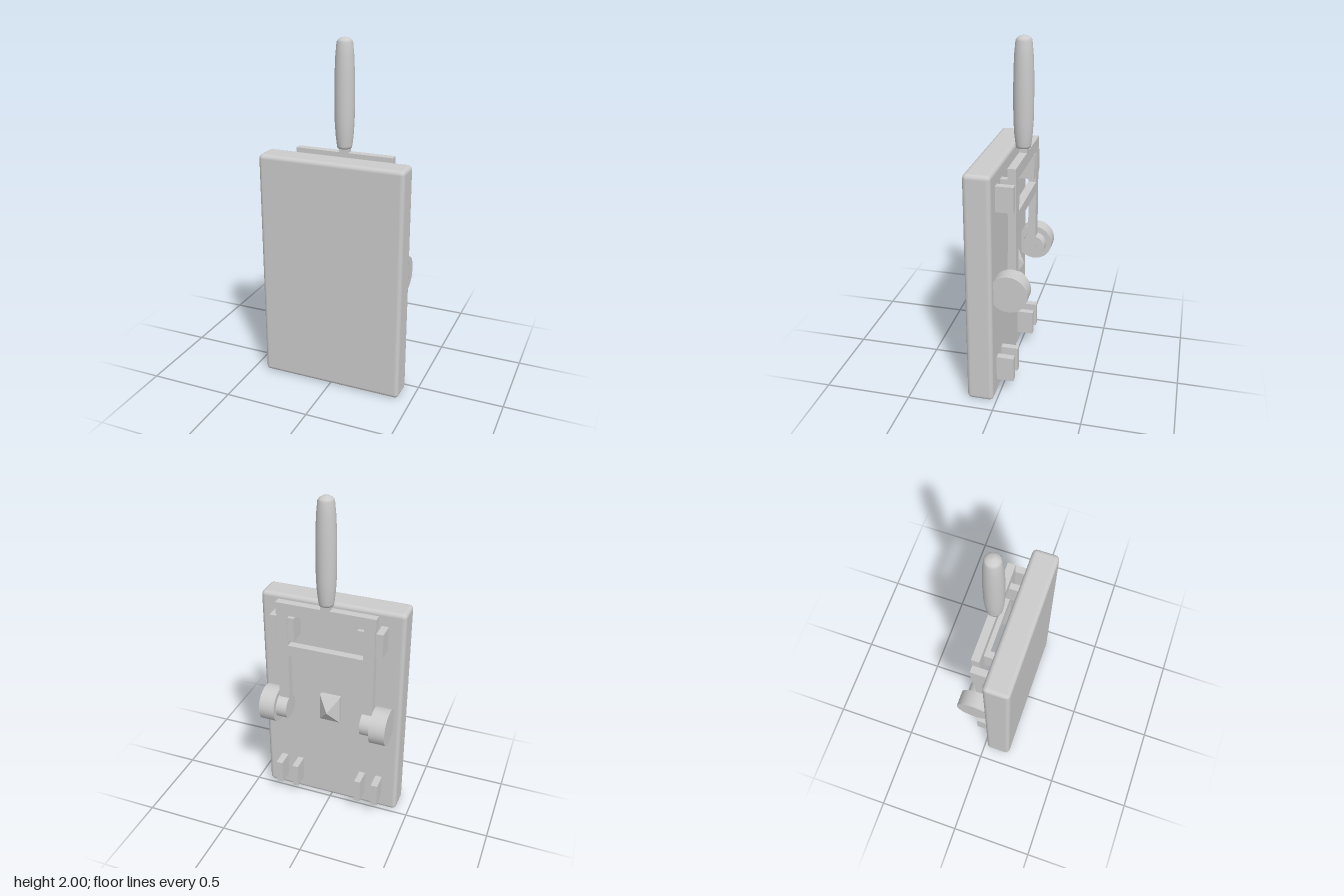
import * as THREE from 'three';
import { RoundedBoxGeometry } from 'three/addons/geometries/RoundedBoxGeometry.js';

const material = new THREE.MeshStandardMaterial({ color: 0xcccccc });
const flatMaterial = new THREE.MeshStandardMaterial({ color: 0xcccccc, flatShading: true });

export function createModel() {
  const group = new THREE.Group();

  const add = (name, geometry, x, y, z, mat = material) => {
    const mesh = new THREE.Mesh(geometry, mat);
    mesh.name = name;
    mesh.position.set(x, y, z);
    group.add(mesh);
    return mesh;
  };
  // Box given by its lower and upper limits on each axis
  const addBox = (name, x0, x1, y0, y1, z0, z1) =>
    add(name, new THREE.BoxGeometry(x1 - x0, y1 - y0, z1 - z0),
      (x0 + x1) / 2, (y0 + y1) / 2, (z0 + z1) / 2);
  // Cylinder lying along x between two limits
  const addDrum = (name, x0, x1, y, z, r) => {
    const mesh = add(name, new THREE.CylinderGeometry(r, r, x1 - x0, 40), (x0 + x1) / 2, y, z);
    mesh.rotation.z = Math.PI / 2;
  };

  // Base plate with softened edges
  add('basePlate', new RoundedBoxGeometry(0.85, 1.37, 0.152, 2, 0.025), 0, 0.685, 0.094);

  // Swinging frame: two bars across, joined by two arms
  const back = -0.084, front = -0.039;
  addBox('topBar', -0.29, 0.29, 1.3, 1.372, back, front);
  addBox('lowerBar', -0.23, 0.23, 1.045, 1.11, back, front);

  for (const side of [1, -1]) {
    const label = side > 0 ? 'left' : 'right';
    const span = (a, b) => (side > 0 ? [a, b] : [-b, -a]);

    addBox(label + 'Arm', ...span(0.222, 0.285), 0.685, 1.31, back, front);
    addDrum(label + 'PivotInner', ...span(0.225, 0.3), 0.685, -0.068, 0.07);
    addDrum(label + 'PivotOuter', ...span(0.29, 0.384), 0.685, -0.063, 0.107);

    // Contact clips: a pair of jaws above and below the pivot
    for (const [row, y0, y1] of [['Upper', 1.14, 1.285], ['Lower', 0.09, 0.24]]) {
      addBox(label + row + 'OuterJaw', ...span(0.29, 0.33), y0, y1, -0.08, 0.03);
      addBox(label + row + 'InnerJaw', ...span(0.185, 0.222), y0, y1, -0.08, 0.03);
    }
  }

  // Small pyramid stud between the pivots
  addBox('studBase', -0.061, 0.061, 0.6, 0.77, -0.01, 0.03);
  const pyramid = new THREE.ConeGeometry(Math.SQRT1_2, 1, 4, 1);
  pyramid.rotateY(Math.PI / 4);
  pyramid.rotateX(-Math.PI / 2);
  pyramid.scale(0.122, 0.17, 0.055);
  add('studTip', pyramid, 0, 0.685, -0.0375, flatMaterial);

  // Handle: short neck and a turned grip
  addBox('neck', -0.027, 0.027, 1.36, 1.42, back, front);
  const profile = [
    [0, 1.397], [0.04, 1.397], [0.043, 1.41], [0.05, 1.47], [0.055, 1.55], [0.056, 1.68],
    [0.055, 1.8], [0.051, 1.9], [0.044, 1.975], [0.036, 1.987], [0.02, 1.997], [0, 2],
  ].map(([r, y]) => new THREE.Vector2(r, y));
  add('grip', new THREE.LatheGeometry(profile, 32), 0, 0, -0.057);

  return group;
}
